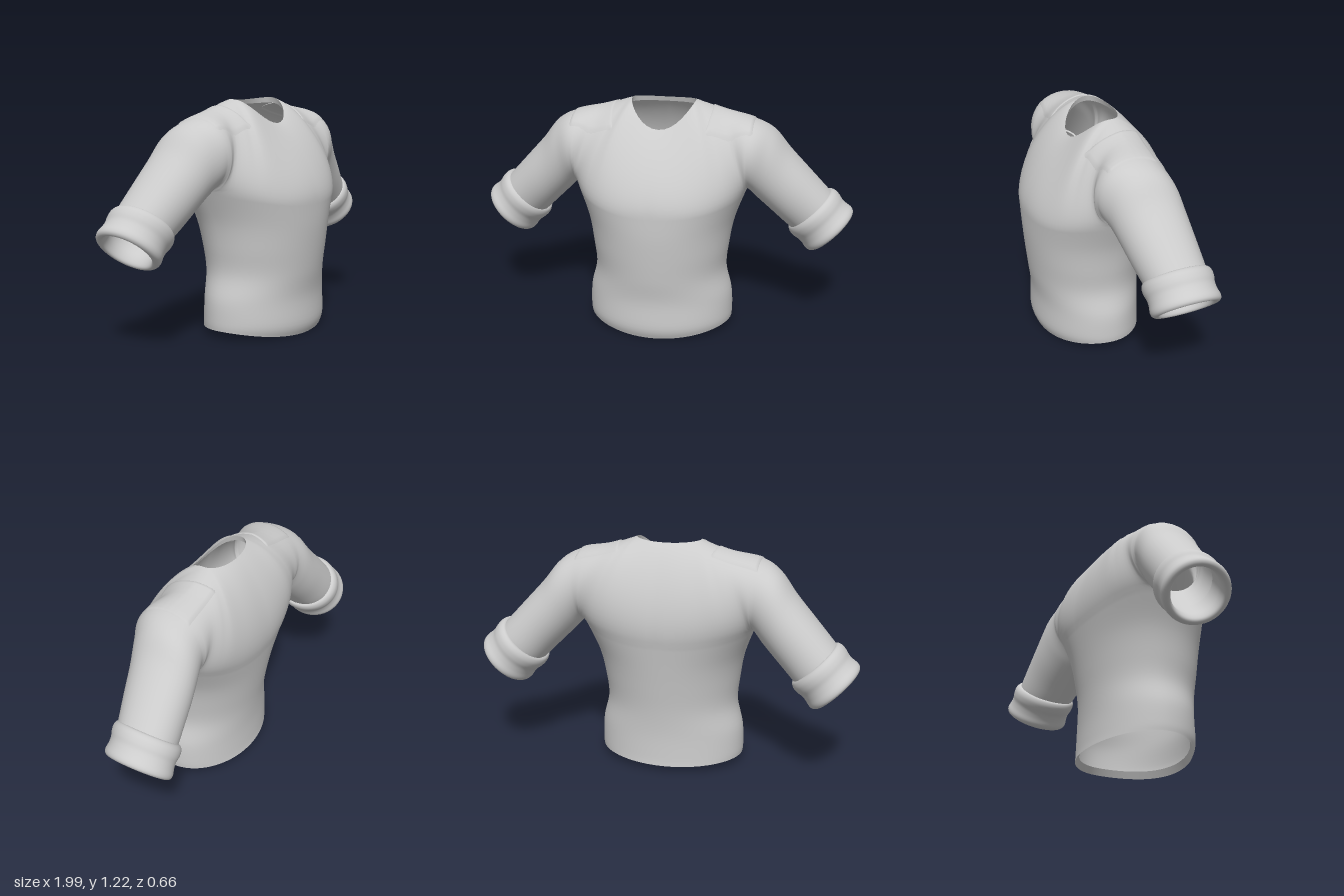
import * as THREE from 'three';
import { mergeGeometries, mergeVertices } from 'three/addons/utils/BufferGeometryUtils.js';

const material = new THREE.MeshStandardMaterial({ color: 0xcccccc, side: THREE.DoubleSide });
const SIDES = 72;

// Smoothly interpolate a table of cross-section parameters at t in 0..1
function sampleRows(rows, t) {
  const f = t * (rows.length - 1);
  const i = Math.min(Math.floor(f), rows.length - 2);
  const u = f - i;
  const at = (k) => rows[Math.max(0, Math.min(rows.length - 1, k))];
  return rows[i].map((b, k) => {
    const a = at(i - 1)[k], c = at(i + 1)[k], d = at(i + 2)[k];
    return b + 0.5 * u * (c - a + u * (2 * a - 5 * b + 4 * c - d + u * (3 * (b - c) + d - a)));
  });
}

// Grid surface from point(i, j), with i and j running 0..ni and 0..nj
function grid(ni, nj, point, flip = false) {
  const positions = [], index = [];
  for (let i = 0; i <= ni; i++) for (let j = 0; j <= nj; j++) positions.push(...point(i, j));
  for (let i = 0; i < ni; i++) {
    for (let j = 0; j < nj; j++) {
      const a = i * (nj + 1) + j, b = a + nj + 1;
      if (flip) index.push(a, a + 1, b, a + 1, b + 1, b);
      else index.push(a, b, a + 1, a + 1, b, b + 1);
    }
  }
  const geometry = new THREE.BufferGeometry();
  geometry.setAttribute('position', new THREE.Float32BufferAttribute(positions, 3));
  geometry.setIndex(index);
  return geometry;
}

// Closed rings skinned along a parameter table
function loft(rows, point, perRow) {
  const rings = (rows.length - 1) * perRow;
  return grid(rings, SIDES,
    (i, j) => point(sampleRows(rows, i / rings), ((j % SIDES) / SIDES) * Math.PI * 2), true);
}

// Weld the pieces into one smoothly shaded mesh
function cloth(name, ...pieces) {
  const geometry = mergeVertices(mergeGeometries(pieces), 1e-4);
  geometry.computeVertexNormals();
  const mesh = new THREE.Mesh(geometry, material);
  mesh.name = name;
  return mesh;
}

// Body rings: yFront, ySide, yBack, halfWidth, zFront, zBack, zSide, squareness
const hem = [0.0, 0.045, 0.03, 0.385, 0.275, -0.262, 0, 1];
const hemInside = [0.04, 0.08, 0.06, 0.365, 0.262, -0.24, 0, 1];
const chest = [0.7, 0.77, 0.7, 0.45, 0.333, -0.317, -0.06, 0.9];
const neck = [1.09, 1.215, 1.205, 0.168, 0.096, -0.147, -0.07, 0.95];
const neckInside = [1.07, 1.185, 1.18, 0.175, 0.103, -0.155, -0.07, 0.95];
const bodyRows = [
  hem,
  [0.06, 0.09, 0.08, 0.388, 0.293, -0.258, 0, 1],
  [0.2, 0.2, 0.2, 0.382, 0.29, -0.255, 0, 1],
  [0.33, 0.33, 0.33, 0.352, 0.308, -0.263, 0, 1],
  [0.46, 0.46, 0.46, 0.363, 0.322, -0.28, 0, 0.98],
  [0.58, 0.61, 0.58, 0.39, 0.331, -0.298, -0.02, 0.95],
  chest,
];

function ringPoint([yf, ys, yb, w, zf, zb, zs, e], t) {
  const s = Math.sin(t), c = Math.cos(t);
  const x = w * Math.sign(s) * Math.abs(s) ** e;
  const z = zs + (c > 0 ? zf - zs : zs - zb) * Math.sign(c) * Math.abs(c) ** e;
  return [x, ys + ((c > 0 ? yf : yb) - ys) * c * c, z];
}

// Columns from chest (or armpit) to neck (or shoulder ridge), centre outward:
// base point, handle at base, handle at top, top point
const corner = [0.168, 1.215, -0.07];
const ridge = [0.31, 1.168, -0.078];
const frontColumns = [
  [0, 0.7, 0.333, 0, 0.13, 0, 0, -0.06, 0.075, ...corner],
  [0.19, 0.71, 0.306, 0, 0.13, 0, 0.03, -0.06, 0.085, ...corner],
  [0.33, 0.735, 0.228, 0.015, 0.14, 0.01, 0.07, -0.05, 0.17, ...corner],
  [0.419, 0.76, 0.105, 0.02, 0.12, 0.06, 0.03, -0.03, 0.2, ...ridge],
];
const backColumns = [
  [0, 0.7, -0.317, 0, 0.18, -0.05, 0, -0.08, -0.11, ...corner],
  [0.19, 0.71, -0.299, 0, 0.18, -0.07, 0.03, -0.07, -0.13, ...corner],
  [0.33, 0.735, -0.248, 0.02, 0.16, -0.1, 0.08, -0.04, -0.19, ...corner],
  [0.419, 0.76, -0.168, 0.02, 0.12, -0.14, 0.03, -0.02, -0.2, ...ridge],
];
// Sleeve sections: underside x, y; upper side x, y; centre z; depth radius
const sleeveSections = [
  [0.45, 0.77, 0.475, 1.13, -0.06, 0.19],
  [0.5, 0.715, 0.575, 1.075, -0.085, 0.182],
  [0.56, 0.655, 0.66, 0.97, -0.105, 0.175],
  [0.62, 0.595, 0.76, 0.86, -0.122, 0.167],
  [0.675, 0.54, 0.865, 0.745, -0.14, 0.157],
  [0.72, 0.5, 0.905, 0.7, -0.147, 0.15],
];

// Front or back half of one shoulder and sleeve; side is +1 (left) or -1 (right)
function upperHalf(front, side) {
  const bulge = (front ? 4 : -4) / 3;
  const rows = [
    ...(front ? frontColumns : backColumns),
    ...sleeveSections.map(([bx, by, tx, ty, z, r]) =>
      [bx, by, z, 0, 0, bulge * r, 0, 0, bulge * r, tx, ty, z]),
  ];
  const quarter = SIDES / 4, perSection = 6, steps = 18;
  const columns = quarter + (sleeveSections.length - 1) * perSection;
  const around = (ring, t) => ringPoint(ring, front ? t : Math.PI - t);
  return grid(columns, steps, (i, j) => {
    const key = i <= quarter ? (i / quarter) * 4 : 4 + (i - quarter) / perSection;
    const row = sampleRows(rows, key / (rows.length - 1));
    const t = (i / SIDES) * Math.PI * 2;
    const base = i <= quarter ? around(chest, t) : row.slice(0, 3);
    const top = i <= quarter / 2 ? around(neck, 2 * t) : row.slice(9);
    const v = j / steps, w = 1 - v;
    const p = base.map((b, k) => b * w ** 3 + 3 * (b + row[3 + k]) * w * w * v
      + 3 * (top[k] + row[6 + k]) * w * v * v + top[k] * v ** 3);
    return [p[0] * side, p[1], p[2]];
  }, front !== (side > 0));
}

// Turned-up cuff profile: distance along the sleeve, radius
const cuffProfile = [
  [0.0, 0.132], [0.004, 0.15], [0.025, 0.161], [0.055, 0.161], [0.085, 0.155],
  [0.115, 0.156], [0.145, 0.161], [0.165, 0.156], [0.174, 0.14], [0.164, 0.125],
  [0.13, 0.118], [0.08, 0.121], [0.0, 0.126],
];
const cuffRows = cuffProfile.map(([s, r]) =>
  [0.77 + 0.695 * s, 0.64 - 0.72 * s, -0.145 - 0.06 * s, r]);

function cuffPoint([x, y, z, r], t) {
  const n = r * Math.cos(t);
  return [x + 0.72 * n, y + 0.695 * n, z + r * 1.09 * Math.sin(t)];
}

// Thin panel draped over the shoulder by dropping a grid onto the cloth
function shoulderPanel(shirt) {
  const n = 24;
  const ray = new THREE.Raycaster();
  const down = new THREE.Vector3(0, -1, 0);
  return cloth('shoulderPanel', grid(n, n, (i, j) => {
    const u = i / n, v = j / n;
    const x = 0.235 + 0.245 * u + 0.02 * Math.sin(v * Math.PI) * (1 - u);
    const z = -0.185 + v * (0.295 - 0.03 * u);
    ray.set(new THREE.Vector3(x, 2, z), down);
    const edge = i % n === 0 || j % n === 0;
    return [x, ray.intersectObject(shirt)[0].point.y + (edge ? -0.004 : 0.006), z];
  }, true));
}

export function createModel() {
  const model = new THREE.Group();
  model.name = 'sweater';

  const halves = [1, -1].flatMap((side) => [upperHalf(true, side), upperHalf(false, side)]);
  const shirt = cloth('bodyAndSleeves', loft(bodyRows, ringPoint, 5), ...halves);
  model.add(shirt);
  model.add(cloth('hemLining', loft([hemInside, hem], ringPoint, 2)));
  model.add(cloth('collarLining', loft([neck, neckInside], ringPoint, 2)));

  // Cuff and shoulder panel, mirrored for the other arm
  const left = new THREE.Group();
  left.name = 'leftArmTrim';
  left.add(cloth('cuff', loft(cuffRows, cuffPoint, 4)), shoulderPanel(shirt));
  const right = left.clone();
  right.name = 'rightArmTrim';
  right.scale.x = -1;
  model.add(left, right);

  return model;
}
